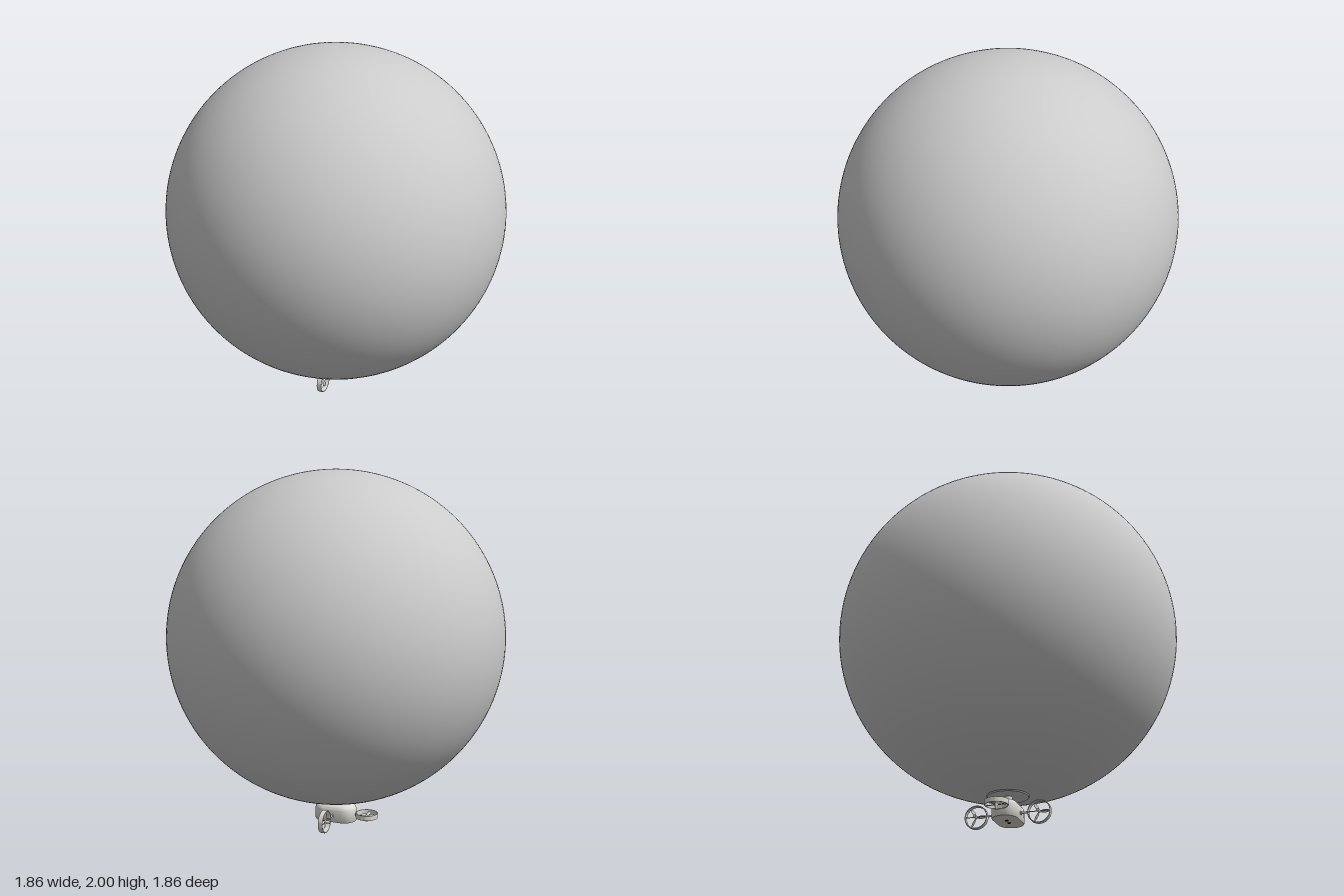
import * as THREE from 'three';
import { toCreasedNormals } from 'three/addons/utils/BufferGeometryUtils.js';

const grey = new THREE.MeshStandardMaterial({ color: 0xcccccc });
const shell = new THREE.MeshStandardMaterial({ color: 0xdddcd5 });
const dark = new THREE.MeshStandardMaterial({ color: 0x222222 });

function part(parent, name, geometry, material, x = 0, y = 0, z = 0) {
  const mesh = new THREE.Mesh(geometry, material);
  mesh.name = name;
  mesh.position.set(x, y, z);
  parent.add(mesh);
  return mesh;
}

const profile = (pts) => pts.map(([r, y]) => new THREE.Vector2(r, y));

// Ducted fan with its axis along y and the motor below
function ductedFan(name) {
  const fan = new THREE.Group();
  fan.name = name;
  const h = 0.0135;
  const duct = new THREE.LatheGeometry(profile([
    [0.058, -h], [0.062, -h], [0.064, -h * 0.6], [0.064, h * 0.6],
    [0.062, h], [0.058, h], [0.058, -h],
  ]), 48);
  part(fan, 'duct', toCreasedNormals(duct, 0.9), shell);

  // Motor, spinner and the strut carrying them
  part(fan, 'motor', new THREE.CylinderGeometry(0.009, 0.008, 0.03, 20), shell, 0, -0.02, 0);
  part(fan, 'spinner', new THREE.SphereGeometry(0.009, 20, 10, 0, Math.PI * 2, 0, Math.PI / 2), shell, 0, -0.005, 0);
  part(fan, 'strut', new THREE.BoxGeometry(0.004, 0.004, 0.118), shell, 0, -0.011, 0);

  // Three pitched blades
  for (let i = 0; i < 3; i++) {
    const arm = new THREE.Group();
    arm.name = 'bladeArm';
    arm.rotation.y = (i * Math.PI * 2) / 3 + 0.5;
    const blade = part(arm, 'blade', new THREE.SphereGeometry(1, 16, 10), shell, 0.03, 0, 0);
    blade.scale.set(0.025, 0.0015, 0.009);
    blade.rotation.x = 0.4;
    fan.add(arm);
  }
  return fan;
}

export function createModel() {
  const model = new THREE.Group();
  model.name = 'blimpDrone';

  // Balloon and the small valve at its top
  const balloon = part(model, 'balloon', new THREE.SphereGeometry(0.931, 128, 80), grey, 0, 1.079, 0);
  balloon.scale.y = 0.92 / 0.931;
  part(model, 'topValve', new THREE.CylinderGeometry(0.006, 0.008, 0.006, 16), grey, 0, 1.997, 0);

  // Mounting plate and neck
  part(model, 'mountPlate', new THREE.CylinderGeometry(0.115, 0.11, 0.009, 48), grey, 0, 0.164, 0);
  part(model, 'neck', new THREE.CylinderGeometry(0.023, 0.023, 0.045, 32), shell, 0, 0.142, 0);
  part(model, 'neckCollar', new THREE.CylinderGeometry(0.028, 0.032, 0.012, 32), shell, 0, 0.128, 0);

  // Gondola: a lathed half-dome pulled apart into a long rounded plan
  const outline = [[0, 0.027], [0.068, 0.027], [0.07, 0.03], [0.07, 0.09]];
  for (let i = 1; i <= 8; i++) {
    const a = (i / 8) * Math.PI / 2;
    outline.push([0.038 + 0.032 * Math.cos(a), 0.09 + 0.034 * Math.sin(a)]);
  }
  outline.push([0, 0.124]);
  const hull = new THREE.LatheGeometry(profile(outline), 48, Math.PI / 48);
  const pos = hull.attributes.position;
  for (let i = 0; i < pos.count; i++) {
    const x = pos.getX(i);
    if (Math.abs(x) > 1e-6) pos.setX(i, x + Math.sign(x) * 0.05);
  }
  part(model, 'gondola', toCreasedNormals(hull, 0.6), shell);

  // Camera in the nose and sensors underneath
  const lens = part(model, 'cameraLens', new THREE.CylinderGeometry(0.011, 0.011, 0.008, 24), dark, 0.119, 0.046, 0);
  lens.rotation.z = Math.PI / 2;
  for (const x of [-0.02, 0.02]) {
    part(model, 'bellySensor', new THREE.CylinderGeometry(0.009, 0.009, 0.004, 20), dark, x, 0.026, 0);
  }

  // Upright fans on booms at both sides
  for (const s of [-1, 1]) {
    const fan = ductedFan('sideFan');
    fan.position.set(-0.004, 0.064, s * 0.173);
    fan.rotation.z = -Math.PI / 2;
    model.add(fan);
    const boom = part(model, 'sideBoom', new THREE.CylinderGeometry(0.006, 0.006, 0.05, 16), shell, -0.004, 0.066, s * 0.088);
    boom.rotation.x = Math.PI / 2;
    const socket = part(model, 'boomSocket', new THREE.CylinderGeometry(0.011, 0.011, 0.012, 20), shell, -0.004, 0.066, s * 0.07);
    socket.rotation.x = Math.PI / 2;
  }

  // Flat fan at the tail
  const tailFan = ductedFan('tailFan');
  tailFan.position.set(-0.188, 0.072, 0);
  model.add(tailFan);
  const tailBoom = part(model, 'tailBoom', new THREE.CylinderGeometry(0.006, 0.006, 0.025, 16), shell, -0.119, 0.067, 0);
  tailBoom.rotation.z = Math.PI / 2;

  return model;
}
